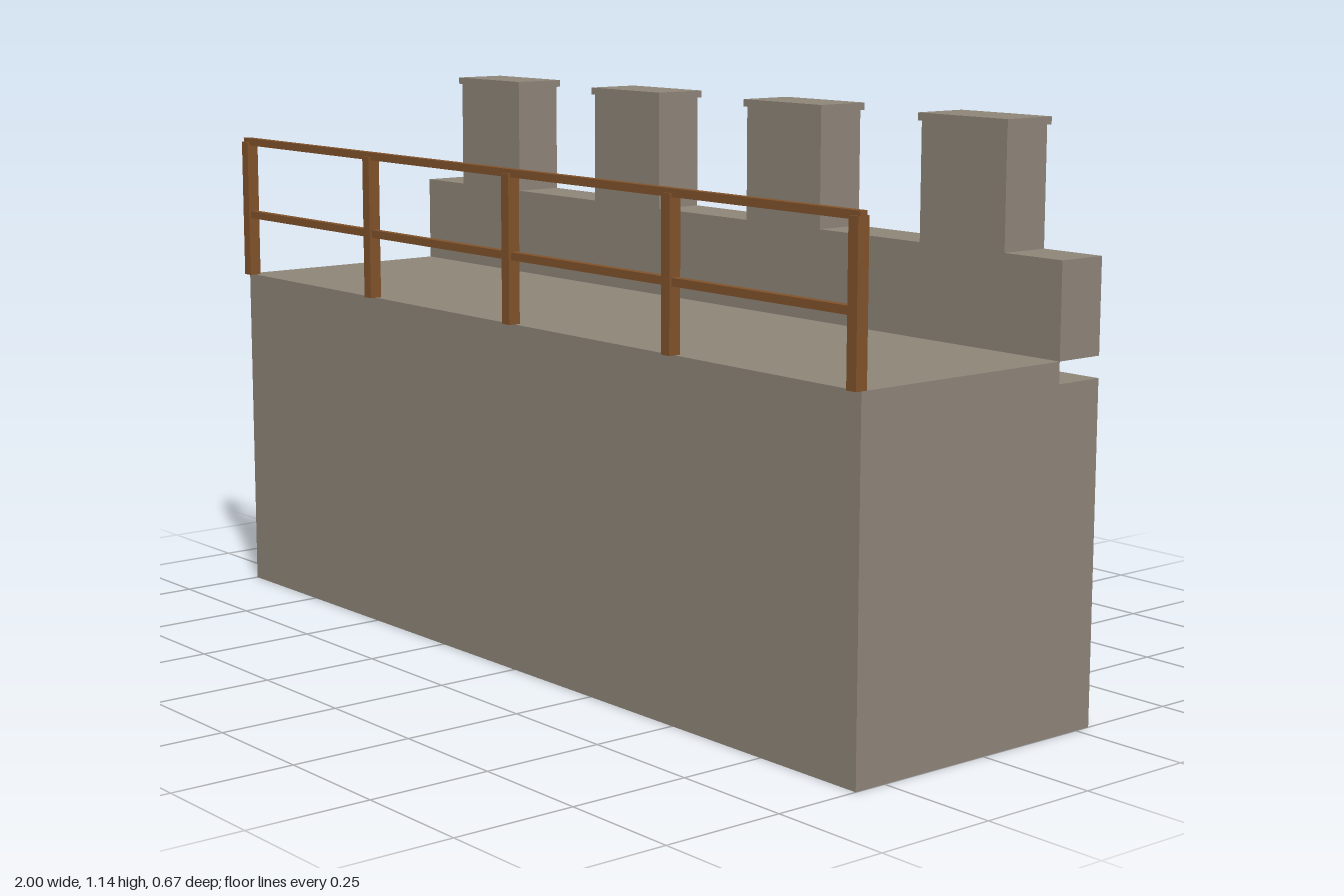
import * as THREE from 'three';

export function createModel() {
  const model = new THREE.Group();
  model.name = 'battlementWall';
  const stone = new THREE.MeshStandardMaterial({ name: 'stone', color: 0x8e8578 });
  const wood = new THREE.MeshStandardMaterial({ name: 'wood', color: 0x80522a });

  // box given by its extents along each axis
  function box(name, mat, [x0, x1], [y0, y1], [z0, z1], parent = model) {
    const mesh = new THREE.Mesh(new THREE.BoxGeometry(x1 - x0, y1 - y0, z1 - z0), mat);
    mesh.position.set((x0 + x1) / 2, (y0 + y1) / 2, (z0 + z1) / 2);
    mesh.name = name;
    parent.add(mesh);
  }
  const around = (c, size) => [c - size / 2, c + size / 2];

  const back = -0.285, inner = -0.178, front = 0.32;
  const ledge = 0.668, deck = 0.71, sill = 0.895;

  // wall body: side profile with a step at the back, extruded along x
  const profile = new THREE.Shape([
    [-front, 0], [-back, 0], [-back, ledge], [-inner, ledge], [-inner, deck], [-front, deck],
  ].map(([a, b]) => new THREE.Vector2(a, b)));
  const body = new THREE.ExtrudeGeometry(profile, { depth: 2, bevelEnabled: false });
  body.rotateY(Math.PI / 2).translate(-1, 0, 0);
  const wall = new THREE.Mesh(body, stone);
  wall.name = 'wallBody';
  model.add(wall);

  // buttresses on the back
  for (const x of [-0.87, 0.13]) {
    box('buttress', stone, around(x, 0.1), [0, ledge], [-0.333, back]);
  }

  // crenellated parapet: one outline of sill and merlons, extruded in depth
  const merlons = [-0.751, -0.253, 0.249, 0.748];
  const outline = new THREE.Shape();
  outline.moveTo(-1, deck).lineTo(1, deck).lineTo(1, sill);
  for (const x of [...merlons].reverse()) {
    outline.lineTo(x + 0.11, sill).lineTo(x + 0.11, 1.127);
    outline.lineTo(x - 0.11, 1.127).lineTo(x - 0.11, sill);
  }
  outline.lineTo(-1, sill);
  const parapet = new THREE.Mesh(
    new THREE.ExtrudeGeometry(outline, { depth: inner - back, bevelEnabled: false }), stone);
  parapet.position.z = back;
  parapet.name = 'parapet';
  model.add(parapet);

  // overhanging caps on the merlons
  for (const x of merlons) {
    box('merlonCap', stone, around(x, 0.231), [1.127, 1.142], [-0.291, -0.173]);
  }

  // wooden railing along the front edge
  const railing = new THREE.Group();
  railing.name = 'railing';
  model.add(railing);
  for (const x of [-0.988, -0.497, -0.002, 0.493, 0.988]) {
    box('railingPost', wood, around(x, 0.024), [deck, 1.01], [0.307, 0.333], railing);
  }
  for (const y of [0.847, 1.011]) {
    box('railingRail', wood, [-1, 1], around(y, 0.016), around(0.32, 0.016), railing);
  }
  return model;
}
